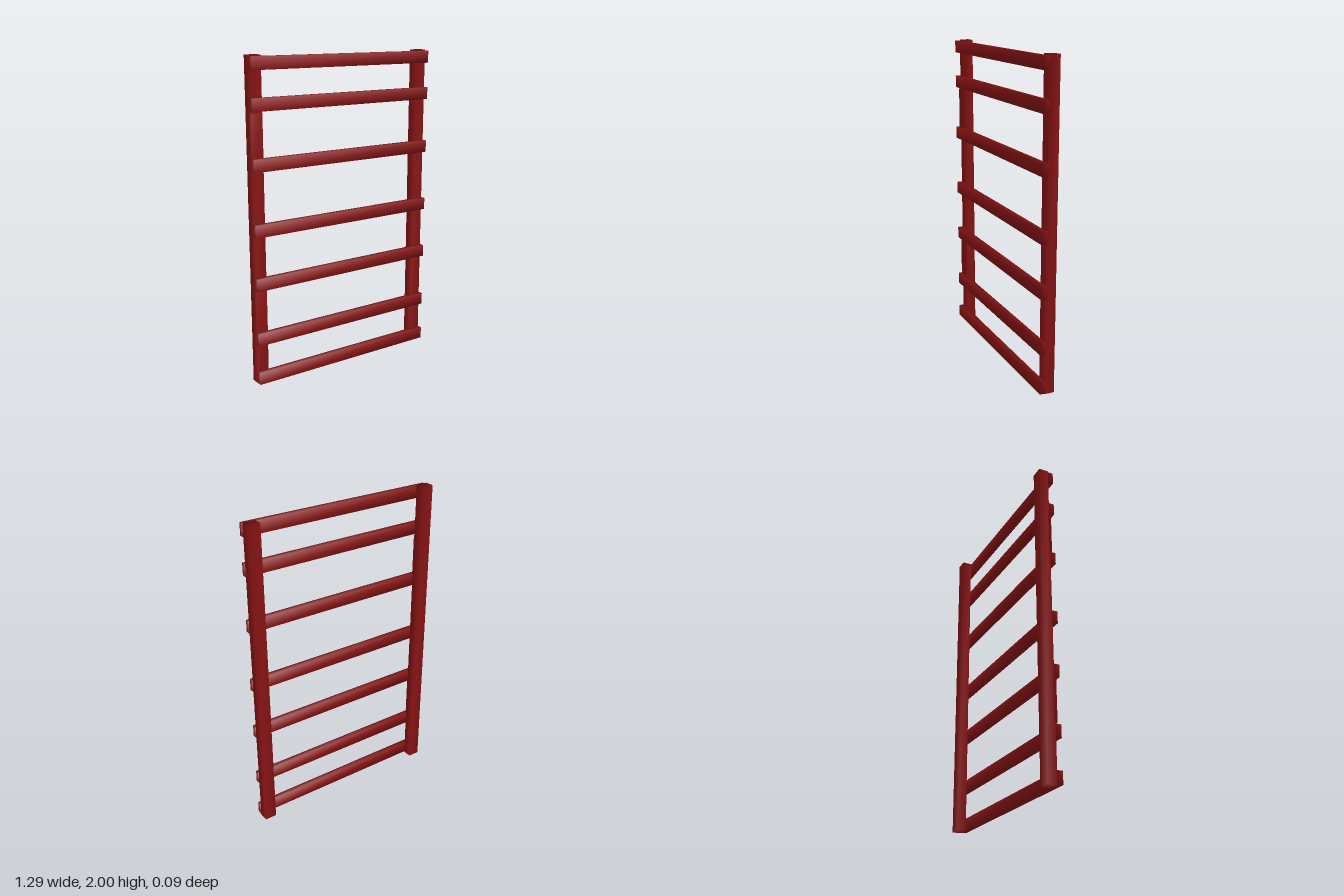
import * as THREE from 'three';
import { mergeVertices } from 'three/addons/utils/BufferGeometryUtils.js';

const paint = new THREE.MeshStandardMaterial({ color: 0x8a1414 });

// Box given by its limits, with normals shared across the corners for a soft shade
function softBox(name, [x0, x1], [y0, y1], [z0, z1]) {
  let geometry = new THREE.BoxGeometry(x1 - x0, y1 - y0, z1 - z0);
  geometry.deleteAttribute('normal');
  geometry.deleteAttribute('uv');
  geometry = mergeVertices(geometry);
  geometry.computeVertexNormals();
  const mesh = new THREE.Mesh(geometry, paint);
  mesh.name = name;
  mesh.position.set((x0 + x1) / 2, (y0 + y1) / 2, (z0 + z1) / 2);
  return mesh;
}

export function createModel() {
  const gate = new THREE.Group();
  gate.name = 'railGate';

  // Upright posts
  gate.add(softBox('leftPost', [0.566, 0.642], [0, 2], [-0.047, 0.013]));
  gate.add(softBox('rightPost', [-0.642, -0.566], [0, 2], [-0.047, 0.013]));

  // Cross rails on the front of the posts
  const rails = new THREE.Group();
  rails.name = 'rails';
  for (const y of [0.042, 0.297, 0.647, 0.98, 1.372, 1.722, 1.955]) {
    rails.add(softBox('rail', [-0.642, 0.642], [y - 0.038, y + 0.038], [0.013, 0.047]));
  }
  gate.add(rails);

  // Thin hinge plates on the right post
  for (const [name, y] of [['lowerHingePlate', 0.34], ['upperHingePlate', 1.41]]) {
    gate.add(softBox(name, [-0.647, -0.57], [y, y + 0.262], [0.008, 0.022]));
  }

  return gate;
}
